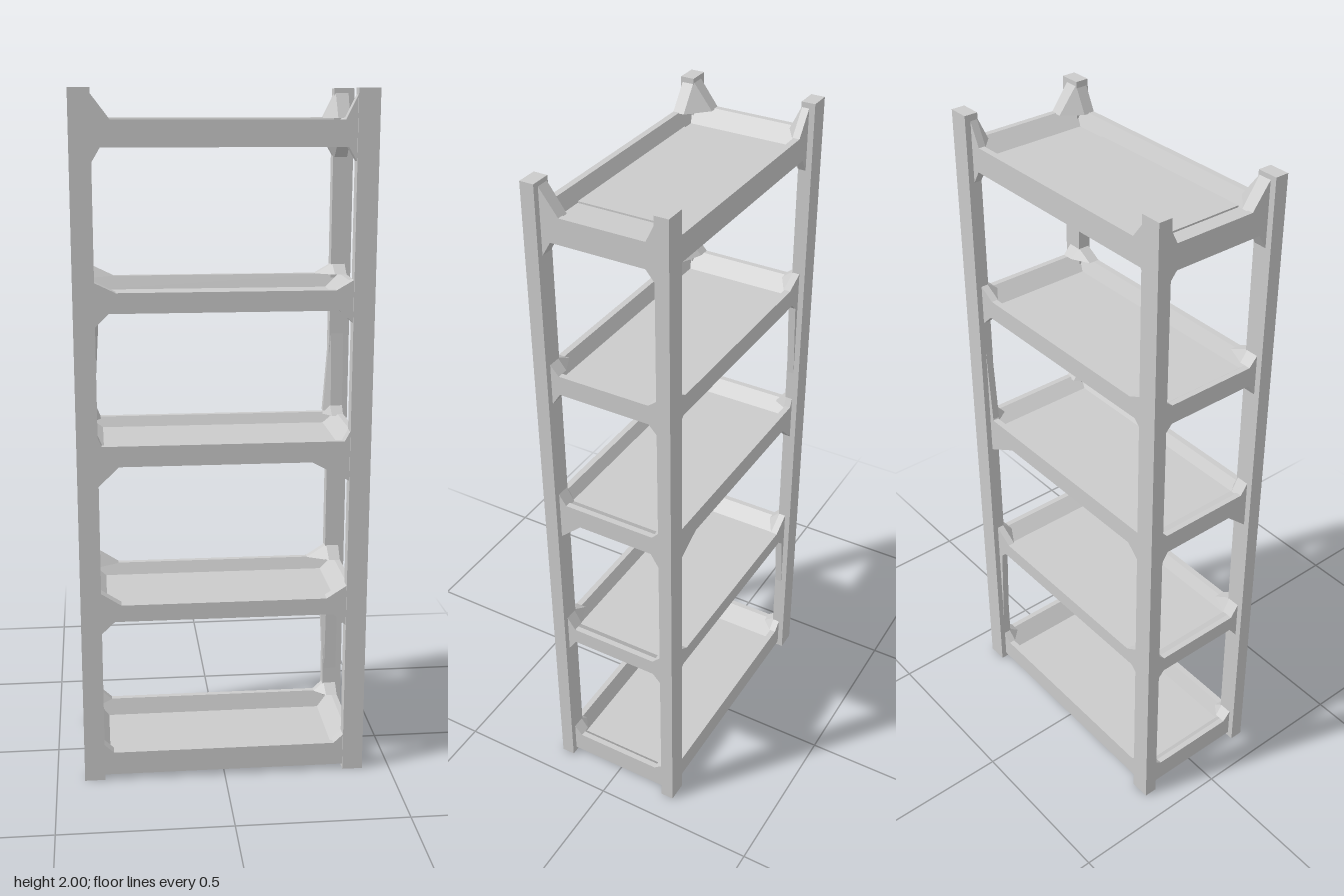
import * as THREE from 'three';
import { ConvexGeometry } from 'three/addons/geometries/ConvexGeometry.js';

const material = new THREE.MeshStandardMaterial({ color: 0xcccccc, flatShading: true });

// Tray: rectangular rings [halfX, frontZ, backZ, y], joined in order and capped at both ends
function trayGeometry(rings) {
  const pos = [], index = [];
  for (const [x, f, b, y] of rings) pos.push(-x, y, -b, -x, y, f, x, y, f, x, y, -b);
  for (let r = 0; r < rings.length - 1; r++) {
    for (let i = 0; i < 4; i++) {
      const a = r * 4 + i, c = r * 4 + (i + 1) % 4;
      index.push(a, c, c + 4, a, c + 4, a + 4);
    }
  }
  const t = (rings.length - 1) * 4;
  index.push(0, 2, 1, 0, 3, 2, t, t + 1, t + 2, t, t + 2, t + 3);
  const g = new THREE.BufferGeometry();
  g.setAttribute('position', new THREE.Float32BufferAttribute(pos, 3));
  g.setIndex(index);
  const flat = g.toNonIndexed();
  flat.computeVertexNormals();
  return flat;
}

// Corner bracket: tapers from the post at yEnd to two arms along the rails at yRail
function bracketGeometry(sx, sz, yRail, yEnd, reachX, reachZ) {
  const zOut = sz > 0 ? 0.2 : 0.188;
  const pts = [
    [0.362, yEnd, zOut], [0.362, yEnd, 0.167], [0.4, yEnd, 0.167],
    [0.4, yRail, zOut], [reachX, yRail, zOut], [reachX, yRail, 0.167],
    [0.4, yRail, reachZ], [0.365, yRail, reachZ],
  ];
  return new ConvexGeometry(pts.map(([x, y, z]) => new THREE.Vector3(x * sx, y, z * sz)));
}

export function createModel() {
  const model = new THREE.Group();
  const add = (name, geometry, x = 0, y = 0, z = 0) => {
    const mesh = new THREE.Mesh(geometry, material);
    mesh.name = name;
    mesh.position.set(x, y, z);
    model.add(mesh);
  };

  // Four corner posts
  for (const sx of [-1, 1]) for (const sz of [-1, 1]) {
    add('post', new THREE.BoxGeometry(0.06, 2, 0.04), sx * 0.388, 1, sz * 0.185);
  }

  // Shelves: bottom, rim top, floor
  const shelves = [
    [0.015, 0.085, 0.035], [0.5, 0.55, 0.515], [0.965, 1.025, 0.995],
    [1.4, 1.457, 1.418], [1.845, 1.917, 1.878],
  ];
  for (const [bottom, top, floor] of shelves) {
    add('shelf', trayGeometry([
      [0.4, 0.2, 0.188, bottom], [0.4, 0.2, 0.188, top],
      [0.383, 0.182, 0.17, top], [0.34, 0.163, 0.155, floor],
    ]));
  }
  add('topPanel', new THREE.BoxGeometry(0.54, 0.006, 0.316), -0.03, 1.88, 0.004);

  // Brackets: shelf side, post end, reach in x (right, left), reach in z (front, back)
  const brackets = [
    [0.085, 0.115, 0.33, 0.33, 0.14, 0.13],
    [0.5, 0.46, 0.32, 0.32, 0.14, 0.13],
    [0.55, 0.59, 0.3, 0.3, 0.14, 0.13],
    [0.965, 0.905, 0.3, 0.25, 0.1, 0.13],
    [1.02, 1.06, 0.345, 0.34, 0.14, 0.13],
    [1.4, 1.36, 0.32, 0.32, 0.14, 0.13],
    [1.457, 1.487, 0.3, 0.31, 0.14, 0.13],
    [1.845, 1.8, 0.335, 0.335, 0.14, 0.13],
    [1.915, 1.99, 0.305, 0.325, 0.11, 0.13],
  ];
  for (const [yRail, yEnd, right, left, front, back] of brackets) {
    for (const sx of [-1, 1]) for (const sz of [-1, 1]) {
      add('bracket', bracketGeometry(sx, sz, yRail, yEnd, sx < 0 ? right : left, sz > 0 ? front : back));
    }
  }

  // Slim tapers stiffening the rear posts
  const tapers = [[-1, 0.49, 0.25], [1, 0.49, 0.1], [-1, 1.4, 1.08], [1, 1.03, 1.32]];
  for (const [sx, yRail, yEnd] of tapers) {
    add('postTaper', bracketGeometry(sx, -1, yRail, yEnd, 0.342, 0.155));
  }
  return model;
}
